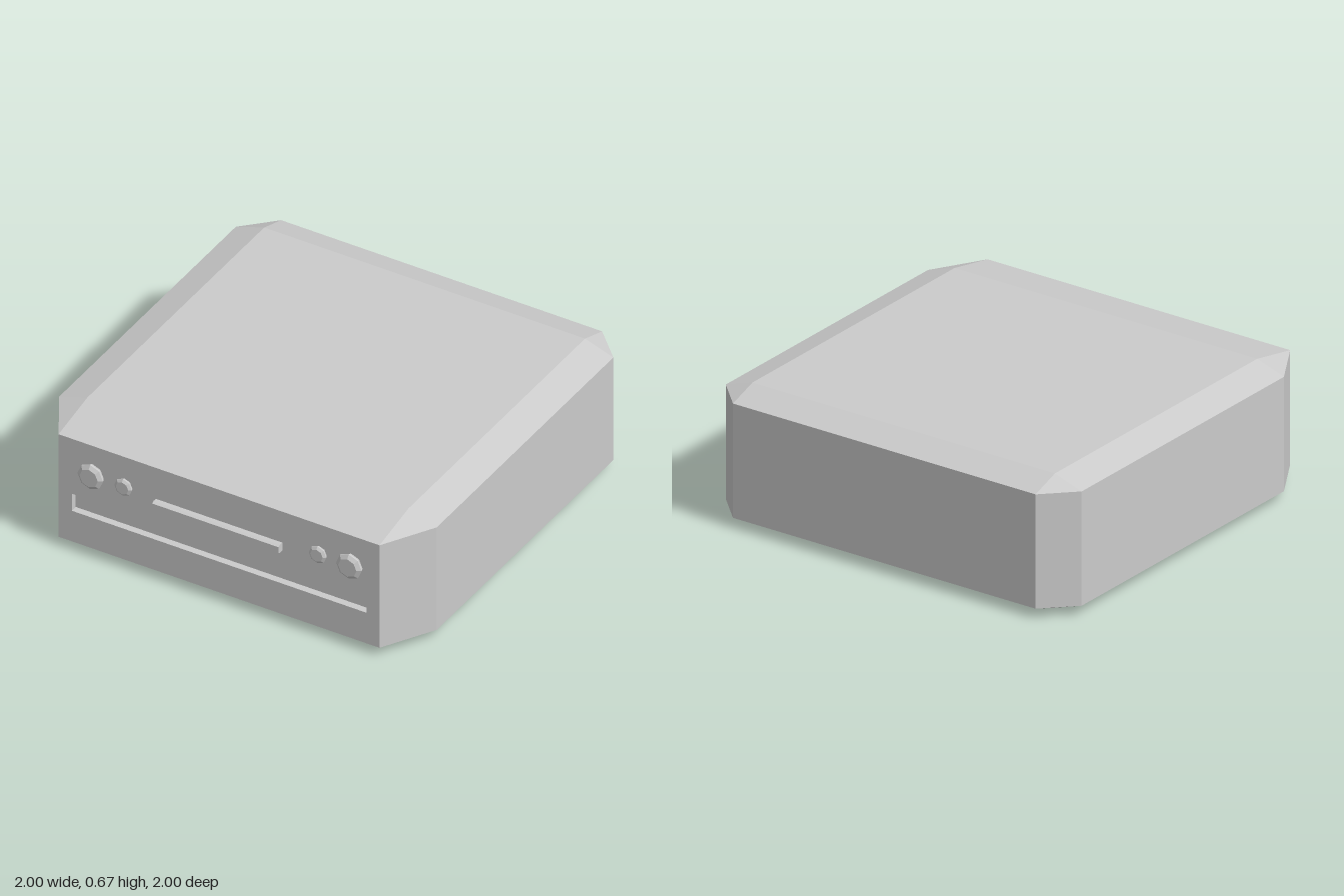
import * as THREE from 'three';

const material = new THREE.MeshStandardMaterial({ color: 0xcccccc, flatShading: true });
const FRONT = 0.965, LOW = 0.05, HIGH = 0.62, TOP = 0.67;
const SLOT = { w: 0.78, y0: 0.22, y1: 0.315, depth: 0.035 };

function addMesh(parent, name, geometry) {
  const mesh = new THREE.Mesh(geometry, material);
  mesh.name = name;
  parent.add(mesh);
  return mesh;
}

// Chamfered case: four stacked eight-point rings, left open at the front panel
function caseGeometry() {
  const outline = [
    [-0.85, FRONT], [0.85, FRONT], [1, 0.71], [1, -0.85],
    [0.85, -1], [-0.85, -1], [-1, -0.85], [-1, 0.71],
  ];
  const inset = outline.map(([x, z]) => [
    THREE.MathUtils.clamp(x, -0.85, 0.85), THREE.MathUtils.clamp(z, -0.85, 0.71),
  ]);
  const ring = (points, y) => points.map(([x, z]) => new THREE.Vector3(x, y, z));
  const rings = [ring(inset, 0), ring(outline, LOW), ring(outline, HIGH), ring(inset, TOP)];
  const positions = [];
  const triangle = (a, b, c) => {
    if (new THREE.Triangle(a, b, c).getArea() < 1e-6) return;
    for (const p of [a, b, c]) positions.push(p.x, p.y, p.z);
  };
  for (let r = 0; r < 3; r++) {
    for (let i = 0; i < 8; i++) {
      if (r === 1 && i === 0) continue;
      const j = (i + 1) % 8;
      triangle(rings[r][i], rings[r][j], rings[r + 1][j]);
      triangle(rings[r][i], rings[r + 1][j], rings[r + 1][i]);
    }
  }
  // flat top and underside
  for (let i = 1; i < 7; i++) {
    triangle(rings[3][0], rings[3][i], rings[3][i + 1]);
    triangle(rings[0][0], rings[0][i + 1], rings[0][i]);
  }
  const geometry = new THREE.BufferGeometry();
  geometry.setAttribute('position', new THREE.Float32BufferAttribute(positions, 3));
  geometry.computeVertexNormals();
  return geometry;
}

function rectangle(Type, x, y0, y1) {
  return new Type([[-x, y0], [x, y0], [x, y1], [-x, y1]].map(([u, v]) => new THREE.Vector2(u, v)));
}

// Octagonal knob with a bevelled face, its base on the front panel
function knob(parent, name, x, radius, depth) {
  const bevel = depth * 0.4;
  const profile = [
    [radius * 0.88, 0], [radius, bevel], [radius, depth - bevel],
    [radius * 0.72, depth], [0, depth],
  ].map(([r, h]) => new THREE.Vector2(r, h));
  const geometry = new THREE.LatheGeometry(profile, 8).rotateX(Math.PI / 2);
  addMesh(parent, name, geometry).position.set(x, 0.46, FRONT);
}

export function createModel() {
  const model = new THREE.Group();
  model.name = 'consoleBox';
  addMesh(model, 'case', caseGeometry());

  // Front panel with its long recessed slot
  const panel = rectangle(THREE.Shape, 0.85, LOW, HIGH);
  panel.holes.push(rectangle(THREE.Path, SLOT.w, SLOT.y0, SLOT.y1));
  addMesh(model, 'frontPanel',
    new THREE.ExtrudeGeometry(panel, { depth: SLOT.depth, bevelEnabled: false })
      .translate(0, 0, FRONT - SLOT.depth));
  addMesh(model, 'slotBack', new THREE.PlaneGeometry(SLOT.w * 2, SLOT.y1 - SLOT.y0))
    .position.set(0, (SLOT.y0 + SLOT.y1) / 2, FRONT - SLOT.depth);

  // Raised bar with narrow chamfers above and below
  const bar = new THREE.Shape([
    [-FRONT, 0.403], [-0.985, 0.403], [-0.998, 0.411],
    [-0.998, 0.442], [-0.985, 0.448], [-FRONT, 0.448],
  ].map(([u, v]) => new THREE.Vector2(u, v)));
  addMesh(model, 'frontBar',
    new THREE.ExtrudeGeometry(bar, { depth: 0.67, bevelEnabled: false })
      .translate(0, 0, -0.335).rotateY(Math.PI / 2));

  // Two large outer knobs and two small inner ones
  knob(model, 'rightLargeKnob', -0.67, 0.067, 0.035);
  knob(model, 'leftLargeKnob', 0.7, 0.067, 0.035);
  knob(model, 'rightSmallKnob', -0.5, 0.046, 0.024);
  knob(model, 'leftSmallKnob', 0.53, 0.046, 0.024);
  return model;
}
